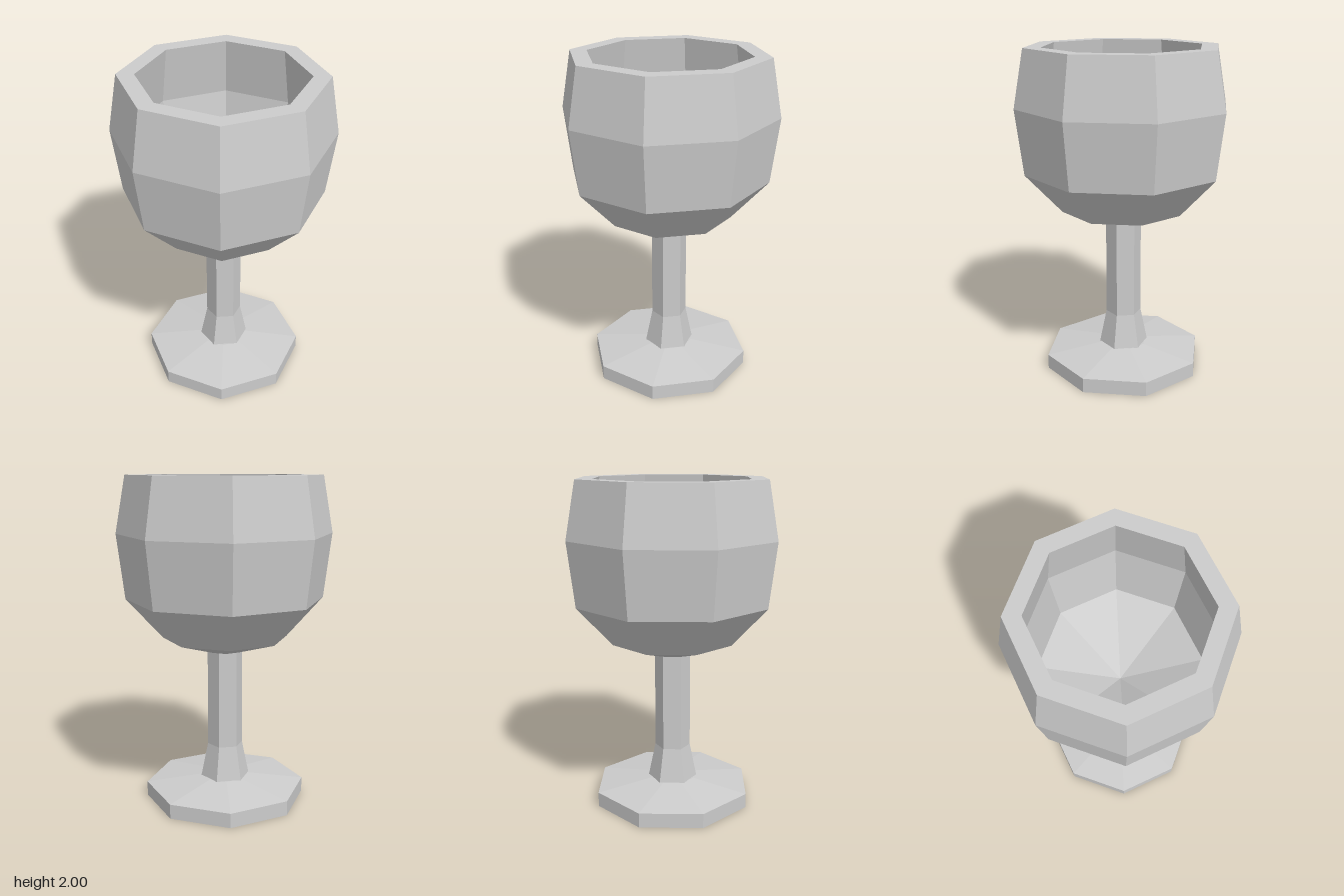
import * as THREE from 'three';

const grey = new THREE.MeshStandardMaterial({ color: 0xcccccc });
grey.name = 'light grey';

// Faceted solid of revolution from [radius, height] pairs, outside listed upwards
function turned(name, profile, sides, start = 0) {
  const points = profile.map(([r, y]) => new THREE.Vector2(r, y));
  const geometry = new THREE.LatheGeometry(points, sides, start).toNonIndexed();
  geometry.computeVertexNormals();
  const mesh = new THREE.Mesh(geometry, grey);
  mesh.name = name;
  return mesh;
}

export function createModel() {
  const goblet = new THREE.Group();
  goblet.name = 'goblet';

  // Octagonal foot with a gently sloping top
  goblet.add(turned('foot', [[0, 0], [0.495, 0], [0.495, 0.09], [0.145, 0.135], [0, 0.135]], 8));

  // Six-sided stem, turned slightly and flared at its base
  goblet.add(turned('stem', [[0.152, 0.133], [0.109, 0.345], [0.108, 0.95]], 6, -0.148));

  // Octagonal bowl: outer wall, flat rim, bulging inner wall and sunken floor
  goblet.add(turned('bowl', [
    [0, 0.945], [0.105, 0.945], [0.38, 1.03], [0.6, 1.27], [0.647, 1.66], [0.585, 2],
    [0.483, 2], [0.535, 1.66], [0.477, 1.3], [0, 1.05],
  ], 8));

  return goblet;
}
